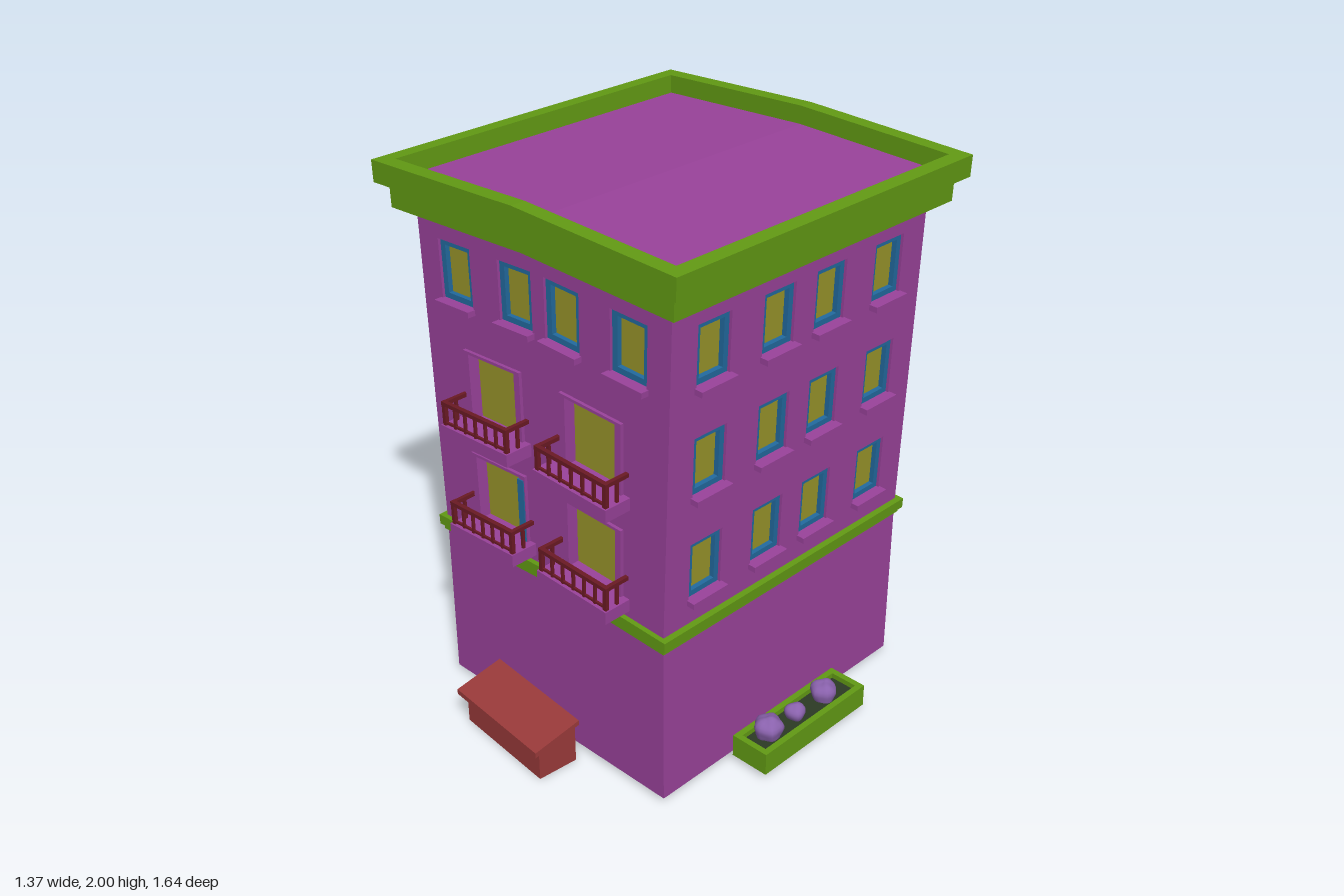
import * as THREE from 'three';

const mat = (color, side = THREE.FrontSide) => new THREE.MeshStandardMaterial({ color, side, flatShading: true });
const PURPLE = mat(0x99429a), GREEN = mat(0x629a14), YELLOW = mat(0x98942a, THREE.DoubleSide), BLUE = mat(0x226a9e);
const RED = mat(0x9a3a3a), DARKRED = mat(0x6a1a24), LIME = mat(0x6aa816, THREE.DoubleSide), SOIL = mat(0x2c3a24, THREE.DoubleSide);
const BUSH = new THREE.MeshStandardMaterial({ color: 0x8a62ad });

const HX = 0.532, HZ = 0.595, WALL = 0.04; // half sizes of the block, wall thickness

function add(parent, name, geo, material, x = 0, y = 0, z = 0) {
  const m = new THREE.Mesh(geo, material);
  m.name = name;
  m.position.set(x, y, z);
  parent.add(m);
  return m;
}
// box given by its limits; split in x so it can follow the fold at the centre
function box(parent, name, material, x0, x1, y0, y1, z0, z1) {
  const geo = new THREE.BoxGeometry(x1 - x0, y1 - y0, z1 - z0, x0 < 0 && x1 > 0 ? 2 : 1, 1, 1);
  return add(parent, name, geo, material, (x0 + x1) / 2, (y0 + y1) / 2, (z0 + z1) / 2);
}
function group(parent, name, x = 0, y = 0, z = 0, ry = 0) {
  const g = new THREE.Group();
  g.name = name;
  g.position.set(x, y, z);
  g.rotation.y = ry;
  parent.add(g);
  return g;
}
const corners = (x0, x1, y0, y1) => [[x0, y0], [x1, y0], [x1, y1], [x0, y1]].map(p => new THREE.Vector2(...p));

// flat panel with rectangular holes, its outer face at z
function panel(parent, name, material, rect, holes, z, depth) {
  const shape = new THREE.Shape(corners(...rect));
  holes.forEach(h => shape.holes.push(new THREE.Path(corners(...h).reverse())));
  return add(parent, name, new THREE.ExtrudeGeometry(shape, { depth, bevelEnabled: false }), material, 0, 0, z - depth);
}
// rectangular ring of four boxes
function ring(parent, name, material, ox, oz, ix, iz, y0, y1) {
  const g = group(parent, name);
  for (const s of [-1, 1]) {
    const za = s * iz, zb = s * oz, xa = s * ix, xb = s * ox;
    box(g, name + 'Front', material, -ox, ox, y0, y1, Math.min(za, zb), Math.max(za, zb));
    box(g, name + 'Side', material, Math.min(xa, xb), Math.max(xa, xb), y0, y1, -iz, iz);
  }
}

const WIN_W = 0.0725, WIN_H = 0.103;
const windowRect = ([u, y]) => [u - WIN_W, u + WIN_W, y - WIN_H, y + WIN_H];
const doorRect = ([u, y]) => [u - 0.107, u + 0.107, y, y + 0.24];

function addWindow(face, u, y) {
  const g = group(face, 'window', u, y);
  panel(g, 'windowFrame', BLUE, [-WIN_W, WIN_W, -WIN_H, WIN_H], [[-0.052, 0.052, -0.083, 0.083]], -0.01, 0.025);
  box(g, 'windowPane', YELLOW, -0.054, 0.054, -0.085, 0.085, -0.035, -0.027);
  box(g, 'windowSill', PURPLE, -0.08, 0.08, -WIN_H - 0.02, -WIN_H, -0.02, 0.03);
}

function addBalcony(face, u, y) {
  const g = group(face, 'balcony', u, y);
  panel(g, 'doorTrim', PURPLE, [-0.132, 0.132, 0, 0.25], [[-0.107, 0.107, 0, 0.24]], 0.012, 0.03);
  box(g, 'balconyDoor', YELLOW, -0.107, 0.107, 0, 0.24, -0.04, -0.03);
  box(g, 'balconySlab', PURPLE, -0.16, 0.16, -0.045, 0, -0.01, 0.105);
  // railing
  box(g, 'topRail', DARKRED, -0.156, 0.156, 0.072, 0.086, 0.084, 0.1);
  box(g, 'bottomRail', DARKRED, -0.156, 0.156, 0.004, 0.012, 0.088, 0.096);
  for (const s of [-1, 1]) {
    const side = add(g, 'sideRail', new THREE.BoxGeometry(0.014, 0.014, 0.094), DARKRED, s * 0.148, 0.079, 0.047);
    side.clone().translateY(-0.071);
    add(g, 'sideBaluster', new THREE.BoxGeometry(0.01, 0.075, 0.01), DARKRED, s * 0.148, 0.037, 0.045);
  }
  for (let i = 0; i < 7; i++) {
    const w = i % 6 ? 0.009 : 0.014;
    add(g, 'baluster', new THREE.BoxGeometry(w, 0.075, w), DARKRED, -0.148 + i * 0.0493, 0.037, 0.092);
  }
}

// one side of the block: walls with openings, windows and balconies
function addFace(building, name, half, dist, angle, windows, balconies) {
  const g = group(building, name, Math.sin(angle) * dist, 0, Math.cos(angle) * dist, angle);
  for (const s of [-1, 1]) {
    const x0 = s < 0 ? -half : 0, x1 = s < 0 ? 0 : half;
    const mine = list => list.filter(p => p[0] * s > 0);
    const holes = [...mine(windows).map(windowRect), ...mine(balconies).map(doorRect)];
    panel(g, 'upperWall', PURPLE, [x0, x1, 0.66, 1.86], holes, 0, WALL);
    panel(g, 'groundWall', PURPLE, [x0, x1, 0.02, 0.66], [], 0, WALL);
  }
  windows.forEach(p => addWindow(g, ...p));
  balconies.forEach(p => addBalcony(g, ...p));
  return g;
}

// widen the block upwards and let both halves slope down from the centre
function warp(building) {
  building.updateMatrixWorld(true);
  const meshes = [];
  building.traverse(o => o.isMesh && meshes.push(o));
  const inv = new THREE.Matrix4();
  for (const m of meshes) {
    const geo = m.geometry = m.geometry.clone().applyMatrix4(m.matrixWorld);
    const p = geo.attributes.position;
    for (let i = 0; i < p.count; i++) {
      const x = p.getX(i), y = p.getY(i);
      p.setX(i, x * (1 + 0.075 * Math.max(0, (y - 0.66) / 1.16)));
      p.setY(i, y - 0.04 * Math.abs(x) * Math.min(1, Math.max(0, y - 0.02) / 0.64));
    }
    geo.applyMatrix4(inv.copy(m.matrixWorld).invert());
    geo.computeVertexNormals();
  }
}

function addShopFront(face) {
  const g = group(face, 'shopFront');
  box(g, 'shopSign', GREEN, -0.29, 0.29, 0.405, 0.53, -0.005, 0.012);
  for (const s of [-1, 1]) {
    const d = group(g, 'shopDoor', s * 0.143);
    panel(d, 'shopDoorFrame', RED, [-0.1, 0.1, 0.02, 0.26], [[-0.08, -0.012, 0.05, 0.24], [0.012, 0.08, 0.05, 0.24]], 0.012, 0.017);
    box(d, 'shopDoorGlass', YELLOW, -0.09, 0.09, 0.03, 0.25, -0.003, 0.004);
  }
  // awning: sloped sheet with closed ends
  const geo = new THREE.BufferGeometry(), pts = [];
  for (const x of [-0.36, 0, 0.36]) pts.push(x, 0.345, 0, x, 0.265, 0.105, x, 0.265, 0);
  geo.setAttribute('position', new THREE.Float32BufferAttribute(pts, 3));
  geo.setIndex([0, 1, 4, 0, 4, 3, 3, 4, 7, 3, 7, 6, 0, 2, 1, 6, 7, 8]);
  add(g, 'awning', geo.toNonIndexed(), LIME);
}

function addSideGround(face) {
  box(face, 'sideSign', GREEN, -0.39, 0.17, 0.385, 0.51, -0.005, 0.012);
  for (const u of [-0.395, 0.155, 0.38]) {
    const g = group(face, 'groundWindow', u);
    panel(g, 'groundWindowFrame', BLUE, [-0.068, 0.068, 0.105, 0.255], [[-0.048, 0.048, 0.12, 0.238]], 0.008, 0.012);
    box(g, 'groundWindowPane', YELLOW, -0.05, 0.05, 0.115, 0.24, -0.003, 0.003);
    box(g, 'groundWindowSill', PURPLE, -0.075, 0.075, 0.07, 0.105, -0.01, 0.075);
  }
}

export function createModel() {
  const model = new THREE.Group();
  const building = group(model, 'building');
  const topWindows = [-0.37, -0.1, 0.1, 0.37].map(u => [u, 1.653]);
  const balconies = [0.765, 1.145].flatMap(y => [[-0.22, y], [0.22, y]]);
  const sideWindows = [0.892, 1.273, 1.653].flatMap(y => [-0.412, -0.122, 0.122, 0.412].map(u => [u, y]));
  const front = addFace(building, 'frontFace', HX, HZ, 0, topWindows, balconies);
  const back = addFace(building, 'backFace', HX, HZ, Math.PI, topWindows, balconies);
  addFace(building, 'leftFace', HZ - WALL, HX, Math.PI / 2, sideWindows, []);
  const right = addFace(building, 'rightFace', HZ - WALL, HX, -Math.PI / 2, sideWindows, []);
  box(front, 'openDoorLeaf', BLUE, -0.12, -0.092, 0.766, 1.0, -0.03, 0.016);
  addShopFront(back);
  addSideGround(right);

  // string course, cornice and roof
  ring(building, 'bandLower', GREEN, 0.542, 0.604, 0.48, 0.54, 0.638, 0.658);
  ring(building, 'bandUpper', GREEN, 0.555, 0.613, 0.48, 0.54, 0.658, 0.695);
  ring(building, 'corniceLower', GREEN, 0.586, 0.65, 0.5, 0.56, 1.84, 1.925);
  ring(building, 'corniceUpper', GREEN, 0.62, 0.683, 0.57, 0.628, 1.925, 2.0);
  box(building, 'roof', PURPLE, -0.58, 0.58, 1.915, 1.935, -0.64, 0.64);
  warp(building);
  building.position.set(-0.012, 0, -0.01);

  // market stall with a sloping lid
  const stall = group(model, 'stall', -0.069, 0, 0.695, -0.09);
  const profile = (pts, w) => new THREE.ExtrudeGeometry(new THREE.Shape(pts.map(p => new THREE.Vector2(...p))),
    { depth: w, bevelEnabled: false }).translate(0, 0, -w / 2).rotateY(-Math.PI / 2);
  add(stall, 'stallBody', profile([[-0.077, 0], [0.077, 0], [0.077, 0.125], [-0.077, 0.163]], 0.42), RED);
  add(stall, 'stallLid', profile([[-0.08, 0.163], [0.105, 0.118], [0.105, 0.138], [-0.08, 0.181]], 0.46), RED);

  // planter with bushes
  const planter = group(model, 'planter', 0.61, 0, -0.005);
  ring(planter, 'planterWall', GREEN, 0.075, 0.265, 0.052, 0.242, 0.02, 0.105);
  box(planter, 'soil', SOIL, -0.053, 0.053, 0.075, 0.085, -0.243, 0.243);
  [[0.16, 0.05, 0.118], [0.02, 0.036, 0.105], [-0.135, 0.046, 0.11]].forEach(([z, r, y], i) => {
    const geo = new THREE.SphereGeometry(r, 20, 14);
    const p = geo.attributes.position, v = new THREE.Vector3();
    for (let k = 0; k < p.count; k++) {
      v.fromBufferAttribute(p, k);
      v.multiplyScalar(1 + 0.1 * Math.sin(v.x * 95 + i) * Math.cos(v.z * 85 + i) + 0.05 * Math.sin(v.y * 110));
      p.setXYZ(k, v.x, v.y, v.z);
    }
    geo.computeVertexNormals();
    add(planter, 'bush', geo, BUSH, -0.004, y, z);
  });

  // folding pavement board
  const board = group(model, 'pavementBoard', 0.353, 0.01, -0.757, 0.655);
  for (const s of [-1, 1]) {
    const leaf = group(board, 'boardLeaf', 0, 0.155, s * 0.003);
    leaf.rotation.x = -s * 0.24;
    const material = s > 0 ? BLUE : GREEN;
    box(leaf, 'boardPanel', material, -0.041, 0.041, -0.13, 0, -0.004, 0.004);
    for (const x of [-0.035, 0.035]) box(leaf, 'boardLeg', material, x - 0.006, x + 0.006, -0.158, -0.13, -0.004, 0.004);
  }
  return model;
}
